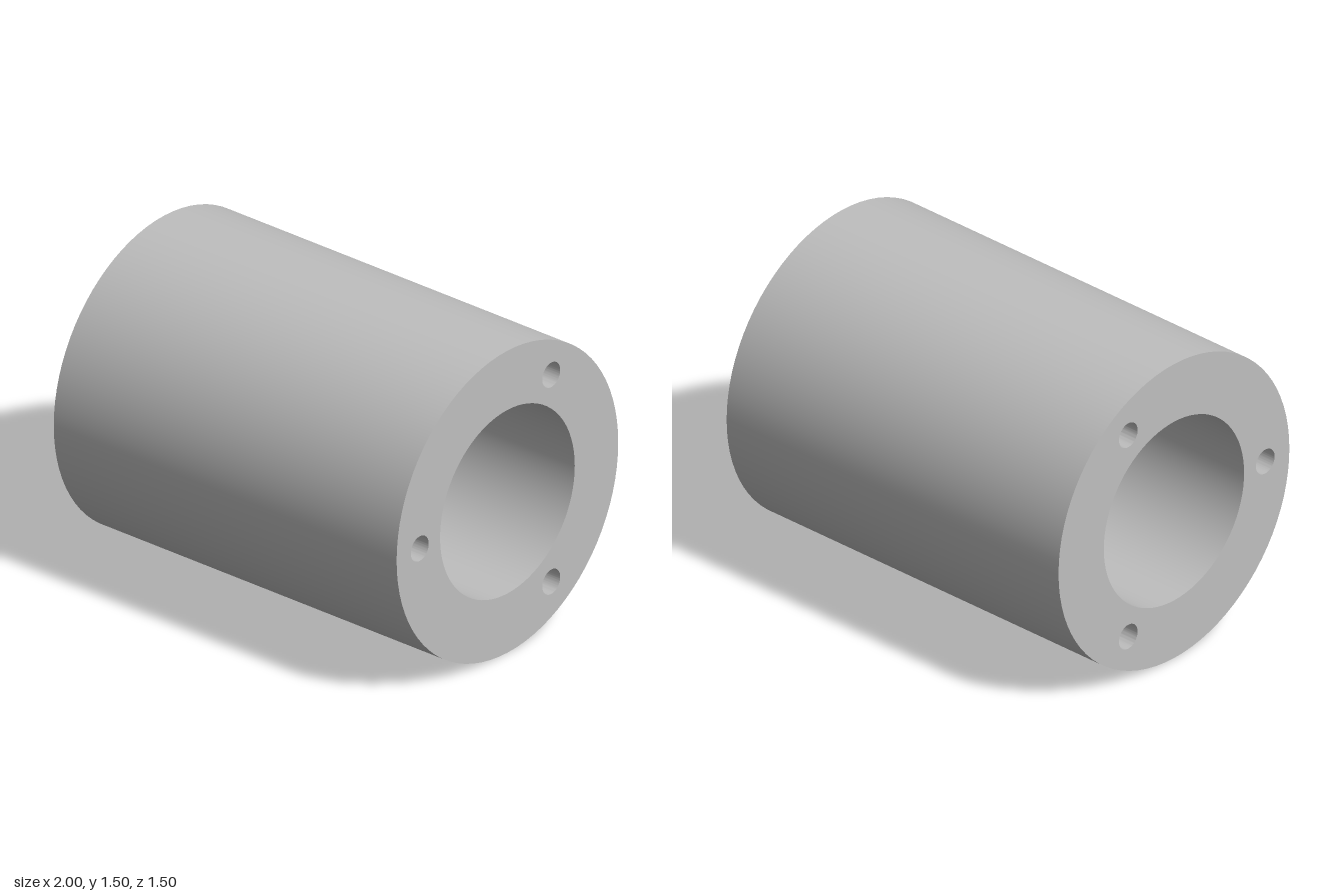
import * as THREE from 'three';
import { toCreasedNormals } from 'three/addons/utils/BufferGeometryUtils.js';

const LENGTH = 2, OUTER = 0.752, BORE = 0.457;
const BOLT_CIRCLE = 0.595, BOLT_HOLE = 0.061;

// Full circle as a path, used for the outline and every hole
function circle(PathType, x, y, radius) {
  return new PathType().absarc(x, y, radius, 0, Math.PI * 2, false);
}

export function createModel() {
  const model = new THREE.Group();
  model.name = 'spacerSleeve';

  const grey = new THREE.MeshStandardMaterial({ color: 0xbfbfbf });
  grey.name = 'light grey';

  // Ring section with the central bore
  const section = circle(THREE.Shape, 0, 0, OUTER);
  section.holes.push(circle(THREE.Path, 0, 0, BORE));

  // Three through holes, the first towards the front
  for (let i = 0; i < 3; i++) {
    const a = Math.PI + (i * Math.PI * 2) / 3;
    section.holes.push(
      circle(THREE.Path, Math.cos(a) * BOLT_CIRCLE, Math.sin(a) * BOLT_CIRCLE, BOLT_HOLE));
  }

  // Extrude along the axis, then lay it along x
  const solid = new THREE.ExtrudeGeometry(section, {
    depth: LENGTH, bevelEnabled: false, curveSegments: 40,
  });
  solid.translate(0, 0, -LENGTH / 2);
  solid.rotateY(Math.PI / 2);
  solid.translate(0, OUTER, 0);

  const sleeve = new THREE.Mesh(toCreasedNormals(solid, Math.PI / 6), grey);
  sleeve.name = 'sleeve';
  model.add(sleeve);
  return model;
}
